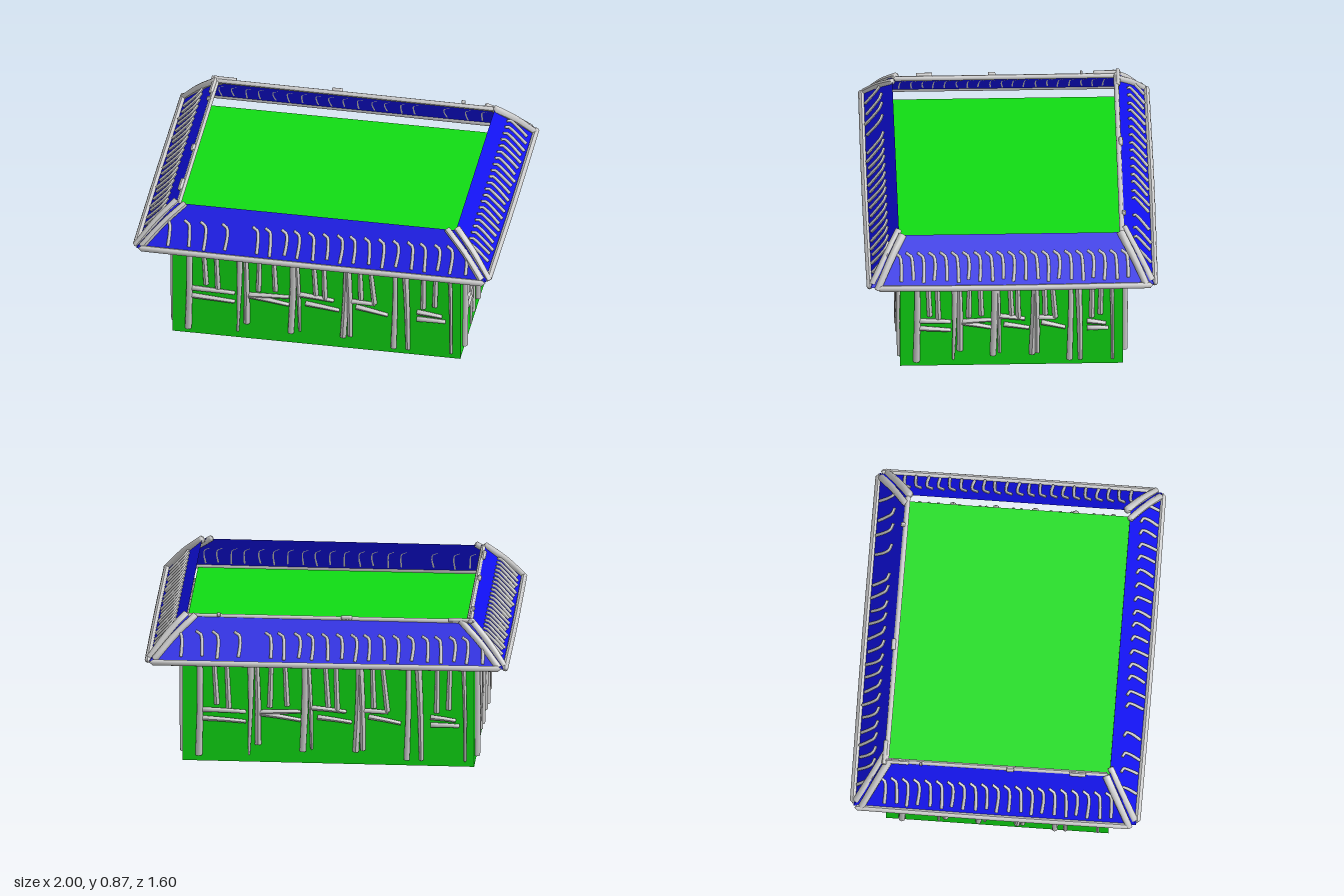
import * as THREE from 'three';

const grey = new THREE.MeshStandardMaterial({ color: 0xcccccc });
const green = new THREE.MeshStandardMaterial({ color: 0x10dc14 });
const blue = new THREE.MeshStandardMaterial({ color: 0x1010ee, side: THREE.DoubleSide });

const WALL_X = 0.8, WALL_Z = 0.61, WALL_H = 0.68;
const EAVE = { x: 0.97, y: 0.63, z: 0.775 };
const RIDGE = { x: 0.777, y: 0.845, z: 0.615 };

// Tapered, closed stick along a smooth path of points
function stick(name, points, r0, r1 = r0, segments = 8) {
  const curve = new THREE.CatmullRomCurve3(points.map(p => new THREE.Vector3(...p)));
  const sides = 8;
  const geo = new THREE.TubeGeometry(curve, segments, 1, sides);
  const pos = geo.attributes.position, v = new THREE.Vector3();
  for (let i = 0; i <= segments; i++) {
    const centre = curve.getPointAt(i / segments);
    // the second and second-last rings slide to the ends to form the caps
    const t = i === 1 ? 0.01 : i === segments - 1 ? 0.99 : i / segments;
    const target = curve.getPointAt(t);
    const r = i === 0 || i === segments ? 0.0005 : r0 + (r1 - r0) * t;
    for (let j = 0; j <= sides; j++) {
      const k = i * (sides + 1) + j;
      v.fromBufferAttribute(pos, k).sub(centre).multiplyScalar(r).add(target);
      pos.setXYZ(k, v.x, v.y, v.z);
    }
  }
  geo.computeVertexNormals();
  const mesh = new THREE.Mesh(geo, grey);
  mesh.name = name;
  return mesh;
}

// Long posts: x at top, x at foot, foot height, top radius, foot radius
const posts = [
  [-0.705, -0.71, 0.03, 0.015, 0.019], [-0.425, -0.435, 0.04, 0.02, 0.006],
  [-0.395, -0.385, 0.1, 0.012, 0.018], [-0.125, -0.14, 0.065, 0.019, 0.017],
  [-0.115, -0.09, 0.08, 0.015, 0.008], [0.17, 0.15, 0.07, 0.015, 0.017],
  [0.17, 0.19, 0.08, 0.02, 0.014], [0.44, 0.43, 0.03, 0.012, 0.016],
  [0.49, 0.51, 0.03, 0.02, 0.012], [0.74, 0.75, 0.03, 0.012, 0.008],
];
// Short upper posts: x at top, x at foot, foot height
const shortPosts = [
  [-0.63, -0.61, 0.33], [-0.56, -0.545, 0.31], [-0.31, -0.32, 0.32], [-0.24, -0.225, 0.33],
  [-0.02, 0, 0.33], [0.04, 0.05, 0.31], [0.24, 0.25, 0.33], [0.29, 0.325, 0.31],
  [0.6, 0.595, 0.31], [0.67, 0.66, 0.33],
];
// Cross rails: x, y to x, y
const rails = [
  [-0.69, 0.25, -0.45, 0.235], [-0.69, 0.3, -0.45, 0.292], [-0.38, 0.285, -0.15, 0.25],
  [-0.38, 0.29, -0.15, 0.3], [-0.1, 0.325, 0.1, 0.305], [-0.06, 0.27, 0.13, 0.245],
  [0.16, 0.315, 0.33, 0.308], [0.22, 0.28, 0.4, 0.245], [0.56, 0.285, 0.7, 0.268],
  [0.56, 0.24, 0.72, 0.238],
];

// Timber framing of one wall, facing local +z
function wallTimbers(depth, scale) {
  const g = new THREE.Group();
  g.name = 'wallTimbers';
  const z = depth + 0.008, top = 0.65;
  for (const [a, b, y, r0, r1] of posts) {
    const mid = (a + b) / 2 + 0.005;
    g.add(stick('longPost', [[a * scale, top, z], [mid * scale, (top + y) / 2, z + 0.003], [b * scale, y, z]], r0, r1));
  }
  for (const [a, b, y] of shortPosts)
    g.add(stick('shortPost', [[a * scale, top, z], [b * scale, y, z]], 0.011, 0.015));
  for (const [x0, y0, x1, y1] of rails) {
    const mid = [(x0 + x1) / 2 * scale, (y0 + y1) / 2 + 0.003, z + 0.003];
    g.add(stick('crossRail', [[x0 * scale, y0, z], mid, [x1 * scale, y1, z]], 0.015, 0.011));
  }
  return g;
}

// One sloping roof panel with its hooked battens, facing local +z
function roofSide(eaveHalf, eaveDepth, ridgeHalf, ridgeDepth, battens) {
  const g = new THREE.Group();
  g.name = 'roofSide';
  const geo = new THREE.BufferGeometry();
  geo.setAttribute('position', new THREE.Float32BufferAttribute([
    -eaveHalf, EAVE.y, eaveDepth, eaveHalf, EAVE.y, eaveDepth,
    ridgeHalf, RIDGE.y, ridgeDepth, -ridgeHalf, RIDGE.y, ridgeDepth], 3));
  geo.setIndex([0, 1, 2, 0, 2, 3]);
  geo.computeVertexNormals();
  const panel = new THREE.Mesh(geo, blue);
  panel.name = 'roofPanel';
  g.add(panel);
  const onSlope = (x, s) => [x,
    EAVE.y + (RIDGE.y - EAVE.y) * s + 0.005,
    eaveDepth + (ridgeDepth - eaveDepth) * s + 0.005];
  battens.forEach((x, i) => {
    const low = 0.1 + 0.03 * Math.sin(i * 2.3), lean = 0.006 * Math.sin(i * 1.7);
    g.add(stick('roofBatten', [onSlope(x + 0.012 + lean, low), onSlope(x + 0.014, 0.42),
      onSlope(x + 0.006, 0.59), onSlope(x - 0.022, 0.66)], 0.009, 0.008, 10));
  });
  return g;
}

export function createModel() {
  const model = new THREE.Group();
  model.name = 'house';

  const body = new THREE.Mesh(new THREE.BoxGeometry(WALL_X * 2, WALL_H, WALL_Z * 2), green);
  body.name = 'walls';
  body.position.y = WALL_H / 2;
  model.add(body);

  // Walls and roof sides, turned around the house
  const longBattens = [-0.81, -0.7, -0.61, -0.49, -0.32, -0.25, -0.16, -0.09, -0.01, 0.07,
    0.15, 0.22, 0.3, 0.38, 0.46, 0.54, 0.61, 0.69, 0.76, 0.84];
  const shortBattens = Array.from({ length: 21 }, (_, i) => -0.62 + i * 0.062);
  for (let i = 0; i < 4; i++) {
    const long = i % 2 === 0;
    const side = new THREE.Group();
    side.name = ['frontSide', 'leftSide', 'backSide', 'rightSide'][i];
    side.add(long ? wallTimbers(WALL_Z, 1) : wallTimbers(WALL_X, 0.735));
    side.add(long ? roofSide(EAVE.x, EAVE.z, RIDGE.x, RIDGE.z, longBattens)
      : roofSide(EAVE.z, EAVE.x, RIDGE.z, RIDGE.x, shortBattens));
    side.rotation.y = i * Math.PI / 2;
    model.add(side);
  }

  // Eave poles
  for (const s of [-1, 1]) {
    const y = EAVE.y;
    model.add(stick('eavePole', [[-0.96, y + 0.005, s * 0.78], [0, y, s * 0.785], [0.97, y - 0.005, s * 0.78]], 0.017));
    model.add(stick('eavePole', [[s * 0.98, y, -0.77], [s * 0.983, y - 0.003, 0], [s * 0.98, y, 0.74]], 0.017));
  }

  // Paired hip poles at each corner
  for (const sx of [-1, 1]) for (const sz of [-1, 1]) {
    model.add(stick('hipPole', [[sx * 0.985, 0.62, sz * 0.74], [sx * 0.88, 0.75, sz * 0.665], [sx * 0.775, 0.85, sz * 0.595]], 0.018, 0.022));
    model.add(stick('hipPole', [[sx * 0.945, 0.635, sz * 0.765], [sx * 0.84, 0.75, sz * 0.69], [sx * 0.725, 0.85, sz * 0.615]], 0.02, 0.018));
  }

  // Top poles along the back and right edges, with short pegs on them
  model.add(stick('topPole', [[-0.79, 0.845, -0.61], [0.78, 0.84, -0.605]], 0.014));
  model.add(stick('topPole', [[-0.77, 0.84, -0.62], [-0.765, 0.84, 0.61]], 0.014));
  for (const [x, half] of [[-0.73, 0.07], [-0.1, 0.03], [0.6, 0.01]])
    model.add(stick('topPeg', [[x - half, 0.855, -0.62], [x + half, 0.855, -0.62]], 0.012));
  for (const [z, half] of [[0.44, 0.045], [0.07, 0.02], [-0.42, 0.006], [-0.56, 0.075]])
    model.add(stick('topPeg', [[-0.78, 0.852, z - half], [-0.78, 0.852, z + half]], 0.013));

  return model;
}
